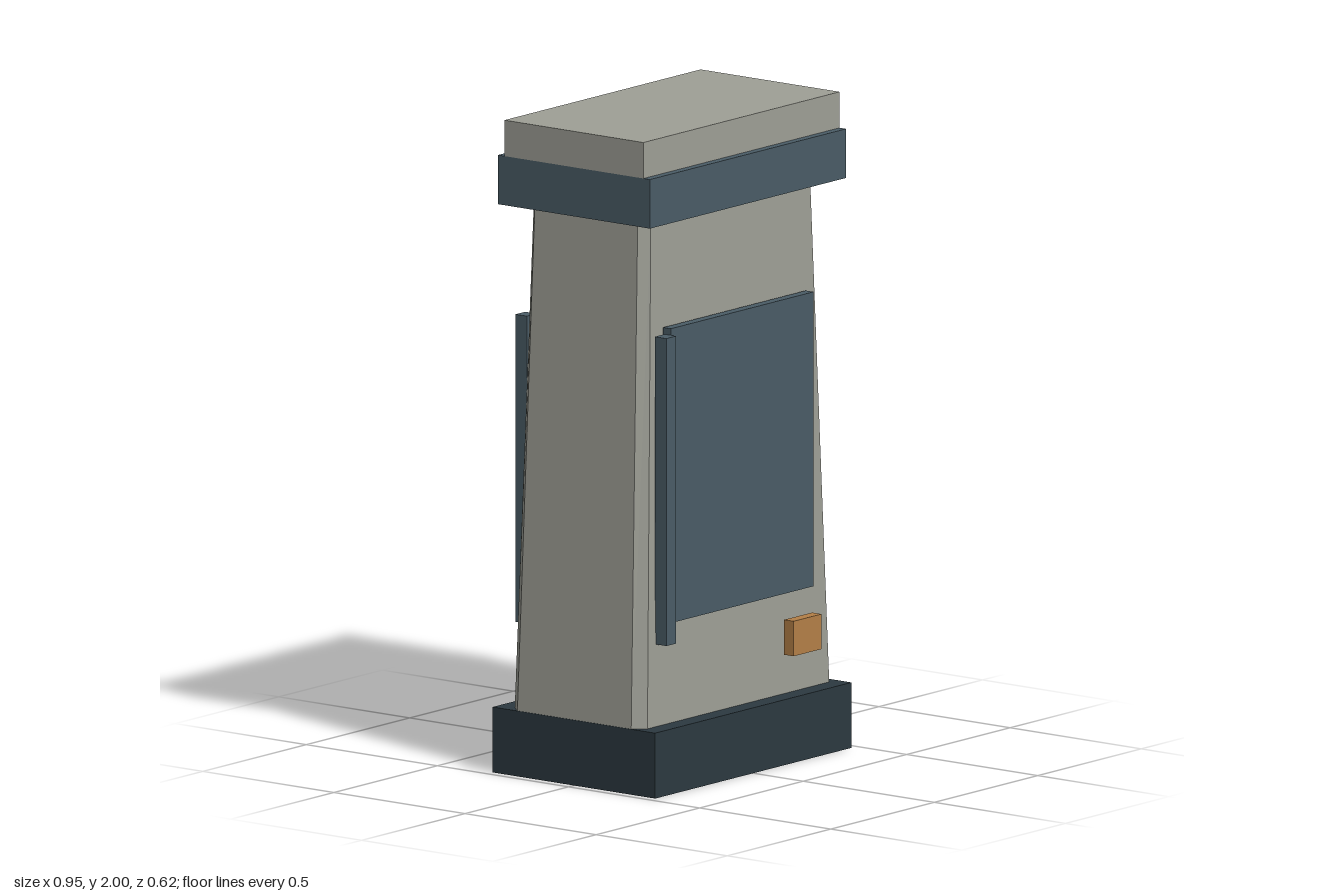
import * as THREE from 'three';

// Flat colours
const mat = (name, color) => {
  const m = new THREE.MeshStandardMaterial({ color });
  m.name = name;
  return m;
};

// Box given by its lower and upper limits on each axis
function box(name, material, [x0, x1], [y0, y1], [z0, z1]) {
  const mesh = new THREE.Mesh(new THREE.BoxGeometry(x1 - x0, y1 - y0, z1 - z0), material);
  mesh.position.set((x0 + x1) / 2, (y0 + y1) / 2, (z0 + z1) / 2);
  mesh.name = name;
  return mesh;
}

// Tapered column with bevelled vertical corners: loft between two octagons
function taperedColumn(bottom, top) {
  const ring = ({ y, x, z, cx, cz }) => [
    [x, y, cz], [x, y, -cz], [cx, y, -z], [-cx, y, -z],
    [-x, y, -cz], [-x, y, cz], [-cx, y, z], [cx, y, z],
  ];
  const a = ring(bottom), b = ring(top), pos = [];
  for (let i = 0; i < 8; i++) {
    const j = (i + 1) % 8;
    pos.push(a[i], a[j], b[j], a[i], b[j], b[i]);
    if (i > 0 && i < 7) pos.push(b[0], b[i], b[i + 1], a[0], a[i + 1], a[i]);
  }
  const g = new THREE.BufferGeometry();
  g.setAttribute('position', new THREE.Float32BufferAttribute(pos.flat(), 3));
  g.computeVertexNormals();
  return g;
}

export function createModel() {
  const stone = mat('warm grey stone', 0x9e9f96);
  const slate = mat('slate blue', 0x4a5c66);
  const dark = mat('dark slate', 0x2c3940);
  const copper = mat('copper orange', 0xb37f47);
  const model = new THREE.Group();
  model.name = 'pillar';

  const W = 0.474;
  model.add(box('base', dark, [-W, W], [0, 0.2], [-0.31, 0.31]));

  const column = new THREE.Mesh(taperedColumn(
    { y: 0.2, x: 0.472, z: 0.253, cx: 0.439, cz: 0.217 },
    { y: 1.74, x: 0.414, z: 0.223, cx: 0.385, cz: 0.196 },
  ), stone);
  column.name = 'column';
  model.add(column);

  model.add(box('collar', slate, [-W, W], [1.74, 1.89], [-0.29, 0.29]));
  model.add(box('capSlab', stone, [-W, W], [1.89, 2], [-0.265, 0.265]));

  // The same fittings sit on the front and the back face
  for (const [side, s] of [['front', 1], ['back', -1]]) {
    const depth = (inner, outer) => (s > 0 ? [inner, outer] : [-outer, -inner]);
    const face = new THREE.Group();
    face.name = side + 'Fittings';
    face.add(box(side + 'Panel', slate, [-0.345, 0.345], [0.51, 1.41], depth(0.238, 0.268)));
    face.add(box(side + 'Strip', slate, [-0.392, -0.345], [0.45, 1.39], depth(0.244, 0.288)));
    face.add(box(side + 'Plate', copper, [0.205, 0.34], [0.323, 0.43], depth(0.266, 0.302)));
    model.add(face);
  }
  return model;
}
